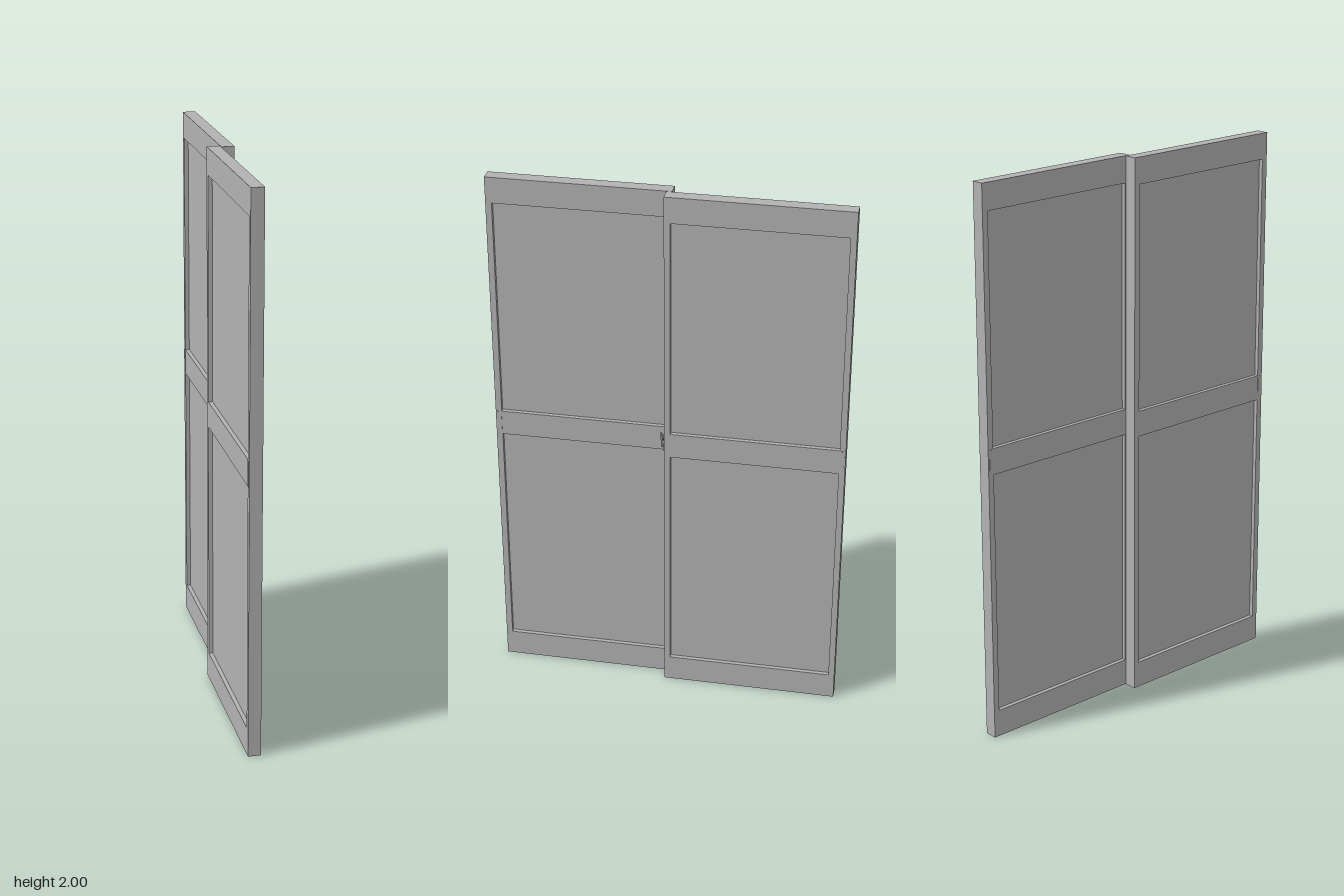
import * as THREE from 'three';

const grey = new THREE.MeshStandardMaterial({ color: 0xb2b2b2 });
grey.name = 'grey';

const T = 0.046;      // door thickness
const W = 0.646;      // door width
const STILE = 0.022;  // width of the upright frame members

function box(parent, name, size, pos) {
  const mesh = new THREE.Mesh(new THREE.BoxGeometry(...size), grey);
  mesh.name = name;
  mesh.position.set(...pos);
  parent.add(mesh);
  return mesh;
}

// One sliding door lying in the yz plane; its outer edge is at +z
function makeDoor(name) {
  const door = new THREE.Group();
  door.name = name;
  for (const s of [-1, 1]) {
    box(door, 'stile', [T, 2, STILE], [0, 1, s * (W - STILE) / 2]);
  }
  const inner = W - 2 * STILE;
  const rails = [['bottomRail', 0, 0.1], ['middleRail', 0.99, 1.085], ['topRail', 1.905, 2]];
  for (const [part, y0, y1] of rails) {
    box(door, part, [T, y1 - y0, inner], [0, (y0 + y1) / 2, 0]);
  }
  // recessed panes
  for (const [y0, y1] of [[0.1, 0.99], [1.085, 1.905]]) {
    box(door, 'panel', [T - 0.03, y1 - y0, inner], [0, (y0 + y1) / 2, 0]);
  }
  // slim pull plates on both faces
  for (const s of [-1, 1]) {
    box(door, 'pullPlate', [0.003, 0.09, 0.016], [s * T / 2, 1.038, W / 2 - 0.013]);
  }
  return door;
}

// Crescent latch on the meeting edge, facing +z
function makeLatch() {
  const latch = new THREE.Group();
  latch.name = 'latch';
  box(latch, 'latchBase', [0.016, 0.07, 0.004], [0.026, 1.04, 0.012]);
  box(latch, 'latchStrike', [0.002, 0.09, 0.008], [0.045, 1.04, 0.007]);

  const hook = new THREE.Shape();
  hook.absarc(0, 0, 0.019, Math.PI * 0.75, Math.PI * 2, false);
  hook.absarc(0, 0, 0.012, Math.PI * 2, Math.PI * 0.75, true);
  hook.closePath();
  const crescent = new THREE.Mesh(
    new THREE.ExtrudeGeometry(hook, { depth: 0.008, bevelEnabled: false, curveSegments: 12 }), grey);
  crescent.name = 'latchCrescent';
  crescent.position.set(0.026, 1.04, 0.014);
  latch.add(crescent);

  const pivot = new THREE.Mesh(new THREE.CylinderGeometry(0.007, 0.007, 0.01, 16), grey);
  pivot.name = 'latchPivot';
  pivot.rotation.x = Math.PI / 2;
  pivot.position.set(0.026, 1.04, 0.018);
  latch.add(pivot);

  const lever = box(latch, 'latchLever', [0.006, 0.05, 0.006], [0.035, 1.062, 0.021]);
  lever.rotation.z = -0.3;
  return latch;
}

export function createModel() {
  const model = new THREE.Group();
  model.name = 'slidingDoors';

  // Front and back doors overlap slightly at the centre
  const offset = 0.636 - W / 2;
  const front = makeDoor('frontDoor');
  front.position.set(-T / 2 - 0.001, 0, offset);
  const back = makeDoor('backDoor');
  back.rotation.y = Math.PI;
  back.position.set(T / 2 + 0.001, 0, -offset);

  model.add(front, back, makeLatch());
  return model;
}
